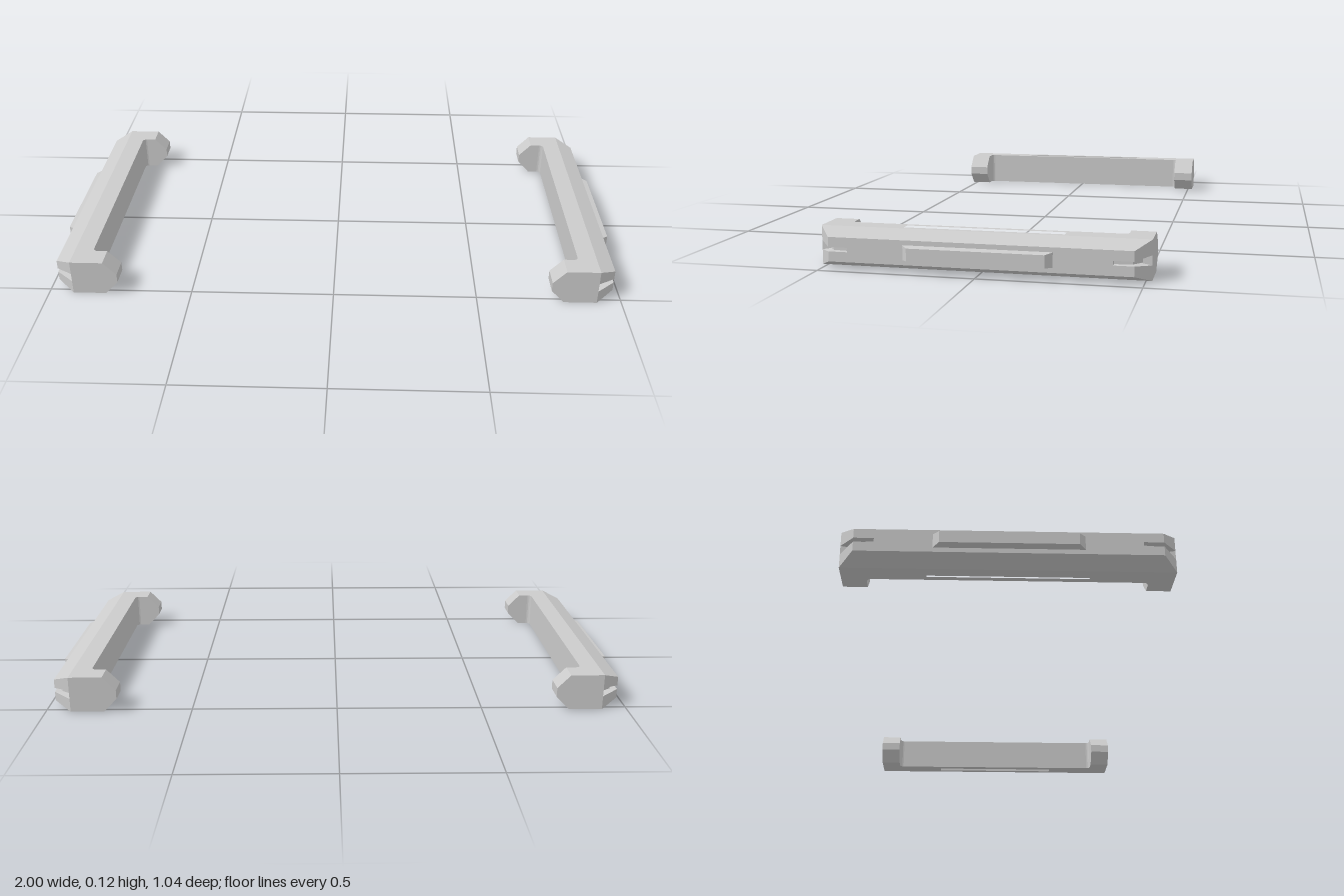
import * as THREE from 'three';
import { mergeGeometries } from 'three/addons/utils/BufferGeometryUtils.js';

const MID = 0.0625;                        // height of the symmetry plane
const END = 0.518, ARM = 0.44, CORNER = 0.472, GROOVE = 0.41;
const TIP = 0.755, SHOULDER = 0.80, INNER = 0.85, EDGE = 0.915, OUTER = 0.975;

// half thickness of the bracket across x: bevelled tip, flat, bevelled outer edge
function half(x) {
  if (x < SHOULDER) return THREE.MathUtils.mapLinear(x, TIP, SHOULDER, 0.016, MID);
  if (x > EDGE) return THREE.MathUtils.mapLinear(x, EDGE, OUTER, MID, 0.0385);
  return MID;
}
const top = (x) => MID + half(x);
const bottom = (x) => MID - half(x);

// solid over an (x, z) outline between two height rules
function slab(points, low, high, hole) {
  const toV = (p) => new THREE.Vector2(p[0], -p[1]);
  const shape = new THREE.Shape(points.map(toV));
  if (hole) shape.holes.push(new THREE.Path(hole.map(toV)));
  const g = new THREE.ExtrudeGeometry(shape, { depth: 1, bevelEnabled: false });
  g.rotateX(-Math.PI / 2);
  const p = g.attributes.position;
  for (let i = 0; i < p.count; i++) {
    const rule = p.getY(i) > 0.5 ? high : low;
    p.setY(i, rule(p.getX(i), p.getZ(i)));
  }
  g.computeVertexNormals();
  return g;
}

const rect = (x0, x1, z0, z1) => [[x0, z0], [x1, z0], [x1, z1], [x0, z1]];

// C-shaped outline between the arm shoulders and the outer bevel
function spineOutline() {
  const r = 0.015, inner = [];
  for (const s of [1, -1]) {
    const arc = [];
    for (let i = 0; i <= 4; i++) {
      const a = (i / 4) * Math.PI / 2;
      arc.push([INNER - r + r * Math.sin(a), s * (ARM - r + r * Math.cos(a))]);
    }
    inner.push(...(s > 0 ? arc : arc.reverse()));
  }
  return [[SHOULDER, -END], [EDGE, -END], [EDGE, END], [SHOULDER, END],
    [SHOULDER, ARM], ...inner, [SHOULDER, -ARM]];
}

function createBracket() {
  const bracket = new THREE.Group();
  const material = new THREE.MeshStandardMaterial({ color: 0xcccccc, flatShading: true });
  const add = (name, parts) => {
    const mesh = new THREE.Mesh(mergeGeometries(parts), material);
    mesh.name = name;
    bracket.add(mesh);
  };

  // spine with a long shallow slot in the top and the bottom
  const outline = spineOutline();
  const slot = rect(0.868, 0.898, -0.253, 0.253);
  const depth = 0.015;
  add('spine', [
    slab(outline, bottom, () => depth, slot),
    slab(outline, () => depth, () => 2 * MID - depth),
    slab(outline, () => 2 * MID - depth, top, slot),
  ]);

  // bevelled tips of the two arms
  add('armTips', [-1, 1].map((s) => {
    const [a, b] = s < 0 ? [-END, -ARM] : [ARM, END];
    return slab(rect(TIP, SHOULDER, a, b), bottom, top);
  }));

  // bevelled outer edge, split at each corner by a groove that flares outwards
  const edge = [slab(rect(EDGE, OUTER, -GROOVE, GROOVE), bottom, top)];
  const gap = (z) => 0.007 + Math.max(0, Math.abs(z) - CORNER) * 0.18;
  const above = (x, z) => MID + gap(z);
  const below = (x, z) => MID - gap(z);
  for (const s of [-1, 1]) {
    const pieces = [
      [[EDGE, s * GROOVE], [OUTER, s * GROOVE], [OUTER, s * CORNER], [EDGE, s * CORNER]],
      [[EDGE, s * CORNER], [OUTER, s * CORNER], [EDGE, s * END]],
    ];
    for (const piece of pieces) {
      edge.push(slab(piece, above, top), slab(piece, bottom, below));
    }
    // groove floor
    const floor = [[EDGE, s * GROOVE], [0.957, s * GROOVE], [0.95, s * 0.465], [EDGE, s * 0.49]];
    edge.push(slab(floor, () => MID - 0.0075, () => MID + 0.0075));
  }
  add('outerEdge', edge);

  // raised plate on the outer face, tapered on all sides
  const rise = (x) => (x > 0.99 ? 0.0195 : 0.0235);
  add('sidePlate', [slab(
    [[OUTER, -0.232], [1, -0.212], [1, 0.212], [OUTER, 0.232]],
    (x) => MID - rise(x), (x) => MID + rise(x),
  )]);
  return bracket;
}

export function createModel() {
  const model = new THREE.Group();
  model.name = 'bracketPair';
  const left = createBracket();
  left.name = 'leftBracket';
  const right = createBracket();
  right.name = 'rightBracket';
  right.rotation.y = Math.PI;
  model.add(left, right);
  return model;
}
